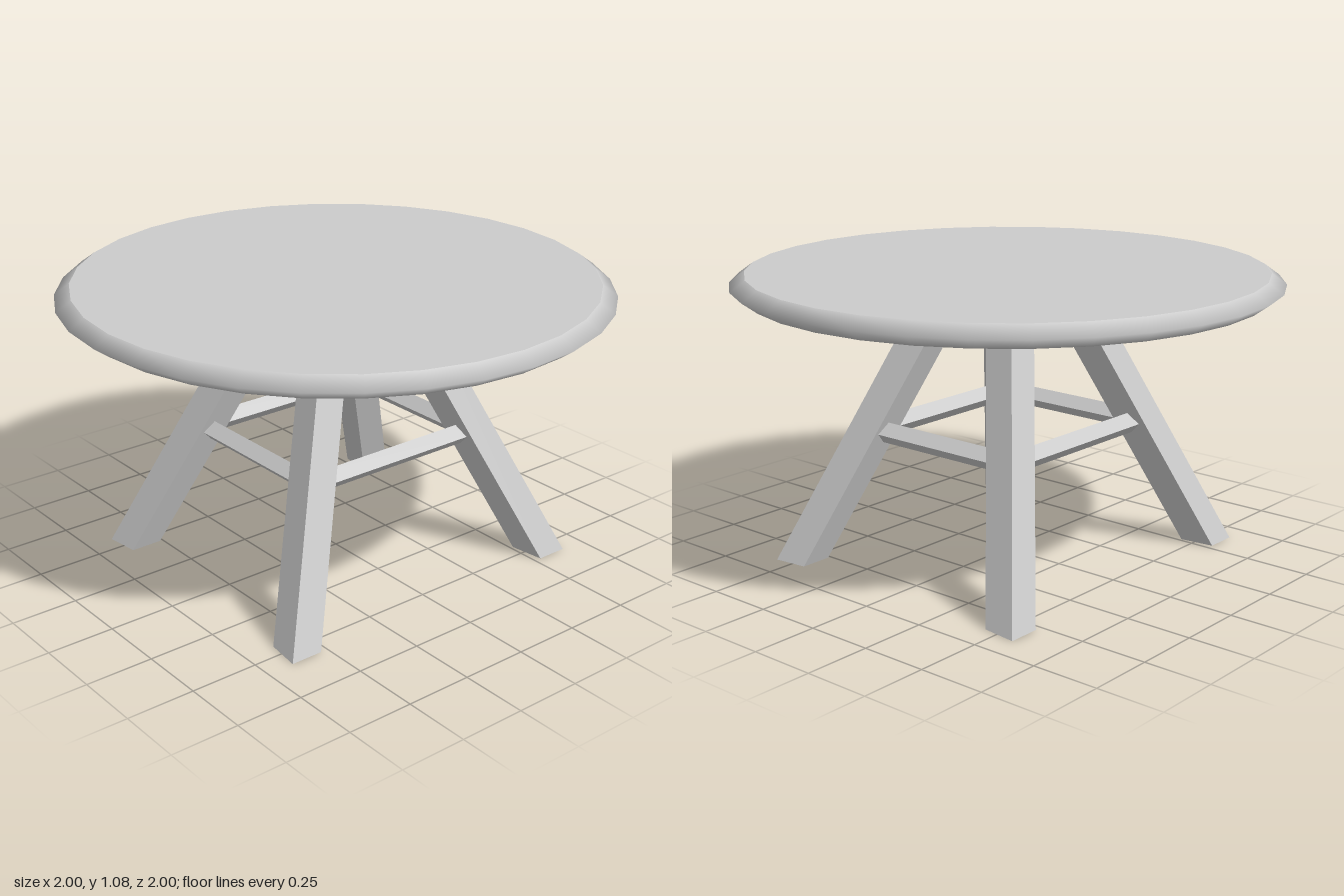
import * as THREE from 'three';

const TOP_Y = 1.0, TOP_H = 0.08, RIM = 0.945, SEGMENTS = 32;
const grey = new THREE.MeshStandardMaterial({ color: 0xcccccc });

function part(name, geometry, parent) {
  const mesh = new THREE.Mesh(geometry, grey);
  mesh.name = name;
  parent.add(mesh);
  return mesh;
}

// Splayed square beam cut level at floor and tabletop; mx, mz choose the corner.
function legGeometry(mx, mz) {
  const geo = new THREE.BoxGeometry(2, 2, 2);
  const p = geo.attributes.position;
  for (let i = 0; i < p.count; i++) {
    const u = p.getX(i) * mx, v = p.getZ(i) * mz; // +1 = outer, -1 = inner
    const t = (p.getY(i) + 1) / 2;                // 0 = floor, 1 = tabletop
    const x = 0.51 + 0.065 * u - 0.363 * t;
    const z = 0.5805 + 0.008 * u + 0.0605 * v - 0.422 * t;
    p.setXYZ(i, mx * x, t * TOP_Y, mz * z);
  }
  geo.computeVertexNormals();
  return geo;
}

// Square bar standing on its edge, along y until rotated.
function barGeometry(length) {
  return new THREE.CylinderGeometry(0.04, 0.04, length, 4).toNonIndexed();
}

export function createModel() {
  const table = new THREE.Group();
  table.name = 'roundTable';

  // Tabletop: flat discs with a smooth bulging rim
  const top = new THREE.Group();
  top.name = 'tabletop';
  table.add(top);
  const profile = [[RIM, 0], [1, TOP_H / 2], [RIM, TOP_H]].map(([r, y]) => new THREE.Vector2(r, y));
  part('rim', new THREE.LatheGeometry(profile, SEGMENTS), top);
  const upper = part('topSurface', new THREE.CircleGeometry(RIM, SEGMENTS), top);
  upper.rotation.x = -Math.PI / 2;
  upper.position.y = TOP_H;
  const lower = part('undersideSurface', new THREE.CircleGeometry(RIM, SEGMENTS), top);
  lower.rotation.x = Math.PI / 2;
  top.position.y = TOP_Y;

  // Legs
  for (const mx of [1, -1]) {
    for (const mz of [1, -1]) {
      part(`${mz > 0 ? 'front' : 'back'}${mx > 0 ? 'Left' : 'Right'}Leg`, legGeometry(mx, mz), table);
    }
  }

  // Stretchers joining neighbouring legs
  for (const s of [1, -1]) {
    const cross = barGeometry(0.66);
    cross.rotateZ(Math.PI / 2);
    cross.computeVertexNormals();
    part(s > 0 ? 'frontStretcher' : 'backStretcher', cross, table).position.set(0, 0.49, s * 0.37);

    const side = barGeometry(0.74);
    side.rotateX(Math.PI / 2);
    side.computeVertexNormals();
    part(s > 0 ? 'leftStretcher' : 'rightStretcher', side, table).position.set(s * 0.33, 0.49, 0);
  }
  return table;
}
